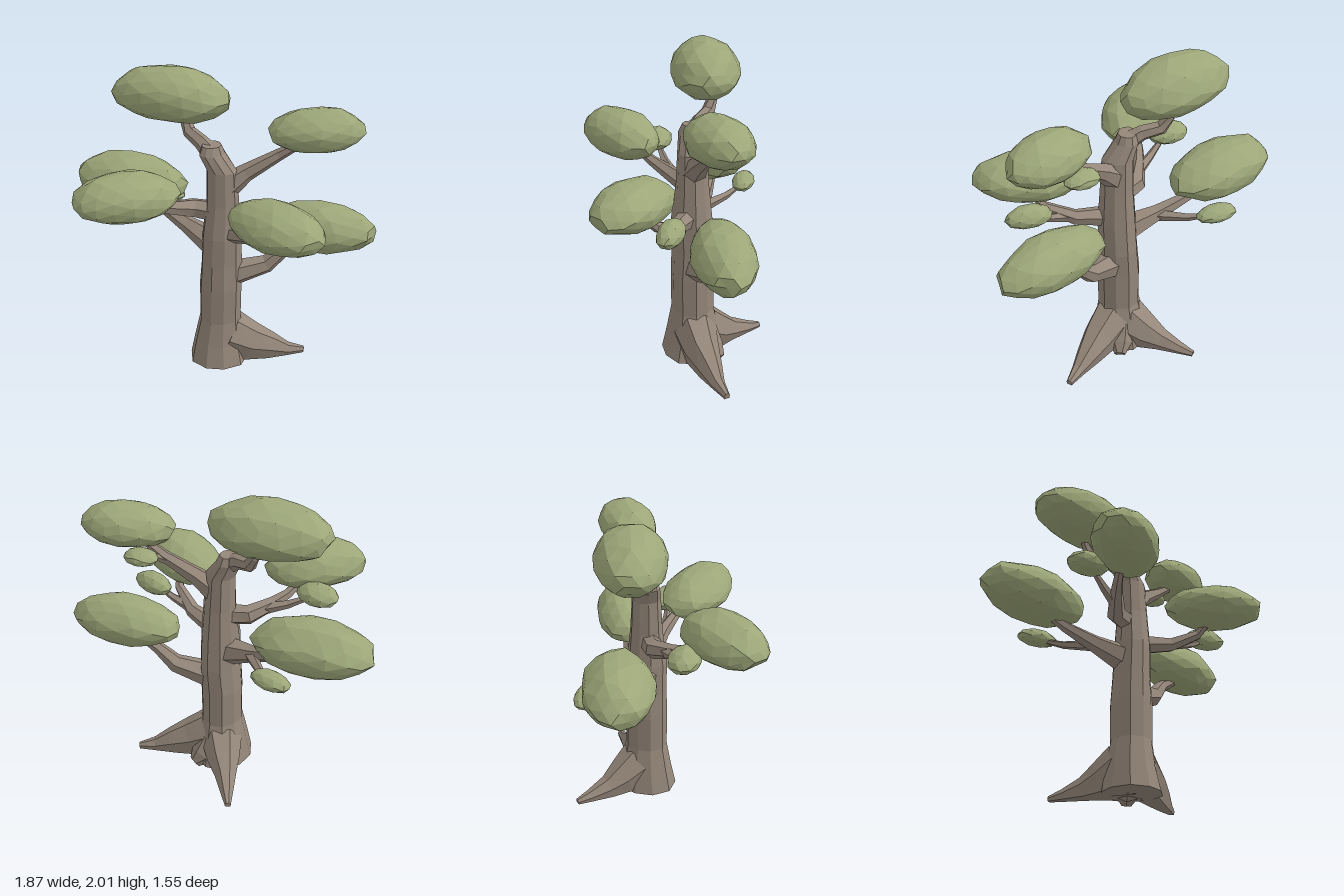
import * as THREE from 'three';

const bark = new THREE.MeshStandardMaterial({ color: 0x95877a, flatShading: true });
const leaf = new THREE.MeshStandardMaterial({ color: 0x9ca678, flatShading: true });
const V = (x, y, z) => new THREE.Vector3(x, y, z);

// Closed skin over a list of equal-length rings, counter-clockwise along the path
function loft(rings) {
  const n = rings[0].length, last = (rings.length - 1) * n, index = [];
  for (let i = 0; i < rings.length - 1; i++) {
    for (let j = 0; j < n; j++) {
      const a = i * n + j, b = i * n + (j + 1) % n;
      index.push(a, b, b + n, a, b + n, a + n);
    }
  }
  for (let j = 1; j < n - 1; j++) index.push(0, j + 1, j, last, last + j, last + j + 1);
  const geometry = new THREE.BufferGeometry().setFromPoints(rings.flat());
  geometry.setIndex(index);
  const flat = geometry.toNonIndexed();
  flat.computeVertexNormals();
  return flat;
}

// Tapered limb through [x, y, z, radius] stations; floor keeps roots above the ground
function limb(stations, sides = 6, floor = -1, tall = 1) {
  const pts = stations.map(s => V(s[0], s[1], s[2]));
  const rings = pts.map((p, i) => {
    const t = pts[Math.min(i + 1, pts.length - 1)].clone().sub(pts[Math.max(i - 1, 0)]).normalize();
    const side = V(0, 1, 0).cross(t).normalize();
    const up = t.clone().cross(side);
    const r = stations[i][3];
    return Array.from({ length: sides }, (_, j) => {
      const a = (j / sides) * Math.PI * 2 + 0.3;
      const v = p.clone().addScaledVector(side, r * Math.cos(a)).addScaledVector(up, r * tall * Math.sin(a));
      v.y = Math.max(v.y, floor);
      return v;
    });
  });
  return loft(rings);
}

// Trunk stations: [y, centre x, centre z, radius x, radius z]
function trunkGeometry() {
  const stations = [
    [0.03, 0.07, -0.13, 0.19, 0.2], [0.18, 0.065, -0.135, 0.16, 0.175],
    [0.35, 0.07, -0.132, 0.132, 0.138], [0.6, 0.07, -0.13, 0.135, 0.137],
    [0.78, 0.073, -0.135, 0.122, 0.138], [0.98, 0.078, -0.127, 0.118, 0.13],
    [1.2, 0.077, -0.13, 0.103, 0.102], [1.42, 0.07, -0.125, 0.095, 0.09],
    [1.52, 0.015, -0.1, 0.072, 0.088], [1.57, 0.01, -0.1, 0.055, 0.065],
  ];
  return loft(stations.map(([y, cx, cz, rx, rz]) => Array.from({ length: 10 }, (_, j) => {
    const a = (j / 10) * Math.PI * 2, k = 1 + 0.04 * Math.sin(3 * a + 1);
    return V(cx + rx * k * Math.cos(a), y, cz - rz * k * Math.sin(a));
  })));
}

// Faceted, lumpy leaf pad: peaked on top, flattened underneath, lean shifts the peak along x
function padGeometry(rx, ry, rz, lean, seed) {
  const geometry = new THREE.IcosahedronGeometry(1, rx > 0.2 ? 2 : 1);
  const pos = geometry.attributes.position, v = V(0, 0, 0);
  for (let i = 0; i < pos.count; i++) {
    v.fromBufferAttribute(pos, i);
    const bump = 1 + 0.03 * Math.sin(9 * v.x + seed) * Math.cos(8 * v.z - seed) + 0.02 * Math.sin(7 * v.y + 5 * v.z + seed * 2);
    v.multiplyScalar(bump);
    v.y = v.y > 0 ? 1.12 * v.y ** 1.15 - 0.1 : Math.max(v.y, -0.88) - 0.1;
    pos.setXYZ(i, (v.x + lean * v.y) * rx, v.y * ry, v.z * rz);
  }
  geometry.computeVertexNormals();
  return geometry;
}

export function createModel() {
  const tree = new THREE.Group();
  tree.name = 'tree';
  const add = (name, geometry, material) => {
    const mesh = new THREE.Mesh(geometry, material);
    mesh.name = name;
    tree.add(mesh);
    return mesh;
  };

  add('trunk', trunkGeometry(), bark);

  // Roots spread out behind the trunk
  const roots = {
    leftRoot: [[0.11, 0.2, -0.17, 0.14], [0.22, 0.13, -0.27, 0.115], [0.31, 0.09, -0.37, 0.08], [0.39, 0.05, -0.46, 0.045], [0.46, 0.04, -0.55, 0.02]],
    rightRoot: [[0.03, 0.18, -0.17, 0.14], [-0.08, 0.11, -0.24, 0.11], [-0.18, 0.07, -0.3, 0.072], [-0.29, 0.045, -0.375, 0.042], [-0.37, 0.035, -0.43, 0.02]],
    backRoot: [[0.07, 0.17, -0.2, 0.1], [0.085, 0.075, -0.28, 0.08], [0.1, 0.03, -0.345, 0.038]],
  };
  for (const [name, path] of Object.entries(roots)) {
    add(name, limb(path, 7, name === 'backRoot' ? 0 : 0.025, 1.25), bark);
  }

  // Main branches, then the thin twigs that fork off them
  const branches = {
    crownBranch: [[0.03, 1.5, -0.1, 0.06], [-0.08, 1.56, -0.1, 0.047], [-0.19, 1.59, -0.11, 0.042], [-0.235, 1.66, -0.115, 0.032], [-0.28, 1.75, -0.09, 0.018]],
    upperLeftBranch: [[0.09, 1.3, -0.14, 0.085], [0.18, 1.4, -0.23, 0.056], [0.32, 1.52, -0.36, 0.037], [0.46, 1.63, -0.44, 0.02]],
    middleLeftBranch: [[0.1, 1.0, -0.12, 0.068], [0.34, 1.04, -0.15, 0.048], [0.52, 1.12, -0.12, 0.032], [0.6, 1.22, -0.05, 0.02]],
    lowerLeftBranch: [[0.11, 0.67, -0.17, 0.09], [0.28, 0.745, -0.34, 0.06], [0.36, 0.85, -0.41, 0.04], [0.5, 0.95, -0.5, 0.022]],
    rightBranch: [[0.05, 0.88, -0.12, 0.1], [-0.18, 0.955, -0.08, 0.056], [-0.38, 1.03, -0.04, 0.035], [-0.54, 1.11, 0, 0.02]],
    frontBranch: [[0.08, 1.13, -0.12, 0.07], [-0.06, 1.15, -0.01, 0.062], [-0.1, 1.19, 0.14, 0.045], [-0.12, 1.23, 0.25, 0.034], [-0.13, 1.31, 0.38, 0.022]],
  };
  const twigs = {
    upperLeftTwig: [[0.27, 1.47, -0.31, 0.03], [0.32, 1.52, -0.4, 0.022], [0.34, 1.55, -0.5, 0.012]],
    middleLeftTwig: [[0.38, 1.05, -0.15, 0.035], [0.5, 1.08, -0.19, 0.024], [0.61, 1.14, -0.24, 0.012]],
    rightTwig: [[-0.17, 0.95, -0.09, 0.04], [-0.36, 0.965, -0.17, 0.025], [-0.5, 1.0, -0.22, 0.012]],
    frontTwig: [[-0.08, 1.17, 0.07, 0.04], [-0.19, 1.21, 0.19, 0.027], [-0.3, 1.28, 0.3, 0.014]],
  };
  for (const [name, path] of Object.entries(branches)) add(name, limb(path), bark);
  for (const [name, path] of Object.entries(twigs)) add(name, limb(path, 5), bark);

  // Leaf pads: [name, centre, radii, turn, lean]
  const pads = [
    ['crownLeaves', [-0.28, 1.84, -0.045], [0.37, 0.16, 0.215], 29, -0.04],
    ['rightLeaves', [-0.595, 1.195, 0.03], [0.37, 0.155, 0.215], 29, -0.05],
    ['frontLeaves', [-0.13, 1.385, 0.47], [0.32, 0.14, 0.2], 63, -0.05],
    ['middleLeftLeaves', [0.605, 1.285, -0.01], [0.325, 0.13, 0.205], -2, 0.12],
    ['upperLeftLeaves', [0.5, 1.705, -0.48], [0.285, 0.125, 0.18], 44, 0.08],
    ['lowerLeftLeaves', [0.52, 1.045, -0.53], [0.36, 0.15, 0.185], 32, 0],
    ['frontSmallLeaves', [-0.32, 1.3, 0.31], [0.14, 0.065, 0.1], 15, 0],
    ['rightSmallLeaves', [-0.52, 1.02, -0.225], [0.135, 0.052, 0.075], 15, 0],
    ['upperLeftSmallLeaves', [0.33, 1.56, -0.51], [0.11, 0.045, 0.085], 25, 0],
    ['middleLeftSmallLeaves', [0.62, 1.16, -0.255], [0.145, 0.068, 0.08], 10, 0],
  ];
  pads.forEach(([name, centre, radii, turn, lean], i) => {
    const pad = add(name, padGeometry(...radii, lean, i * 1.7), leaf);
    pad.position.set(...centre);
    pad.rotation.y = THREE.MathUtils.degToRad(turn);
  });

  return tree;
}
